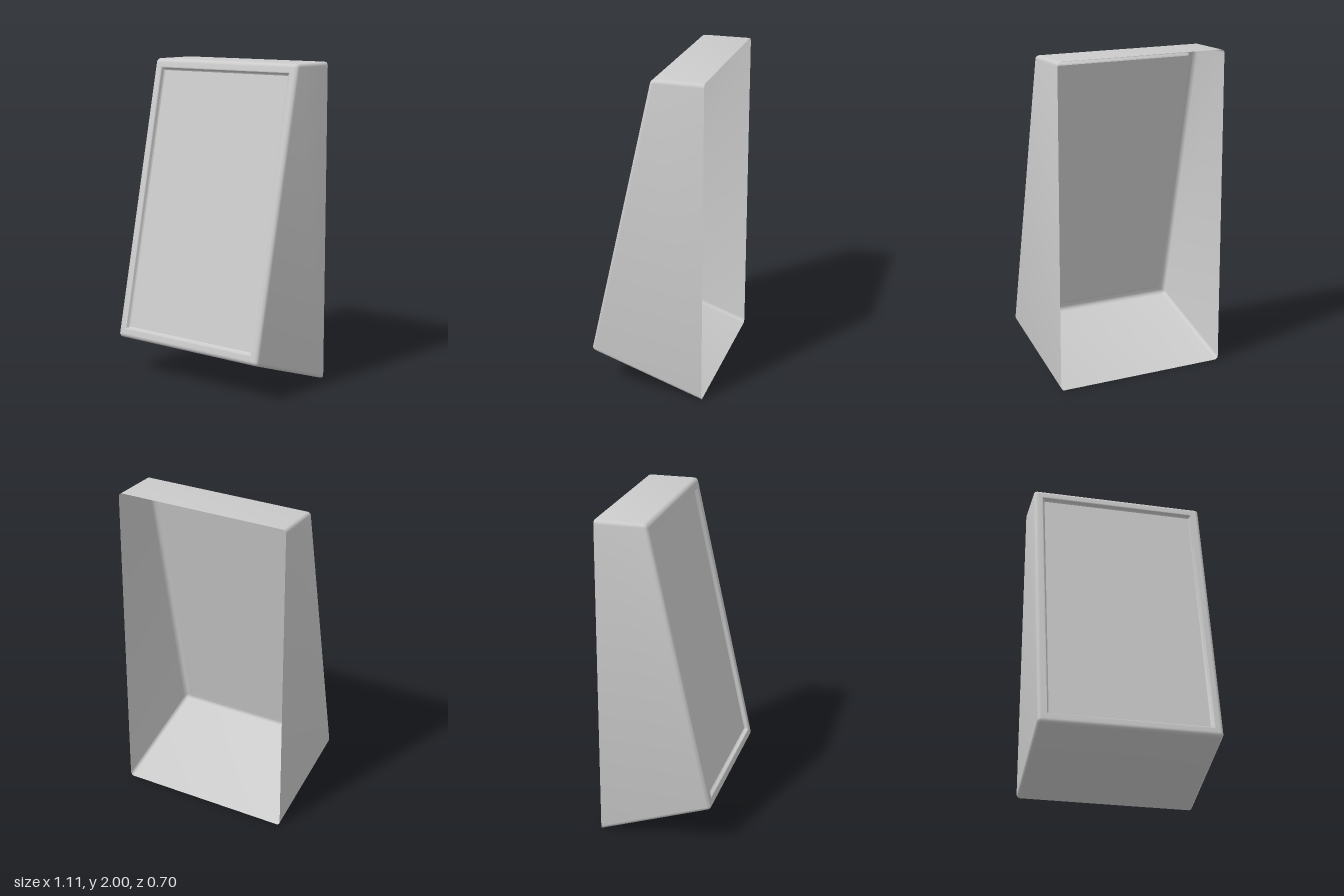
import * as THREE from 'three';
import { toCreasedNormals } from 'three/addons/utils/BufferGeometryUtils.js';

const W = 0.557;                                   // half width
const BOTTOM = new THREE.Vector3(0, 0.242, 0.356); // front face lower edge
const TOP = new THREE.Vector3(0, 2, -0.034);       // front face upper edge
const BACK_Z = -0.35;
const L = BOTTOM.distanceTo(TOP);
const UP = TOP.clone().sub(BOTTOM).normalize();
const NORMAL = new THREE.Vector3(1, 0, 0).cross(UP);
const CORNER = 0.022, EDGE = 0.024, STEPS = 4;

// Rounded rectangle in the slanted front plane, counter-clockwise from the front
function outline(inset) {
  const r = Math.max(CORNER - inset, 0.001);
  const hx = W - inset - r, hs = L / 2 - inset - r;
  const pts = [];
  [[1, 1], [-1, 1], [-1, -1], [1, -1]].forEach(([sx, sy], q) => {
    for (let i = 0; i <= STEPS; i++) {
      const a = (q + i / STEPS) * Math.PI / 2;
      pts.push([sx * hx + r * Math.cos(a), L / 2 + sy * hs + r * Math.sin(a)]);
    }
  });
  return pts;
}

const onFront = (x, s) => BOTTOM.clone().addScaledVector(UP, s).setX(x);
const onBack = (x, s) => new THREE.Vector3(x, 2 * s / L, BACK_Z);

// Ring running back along the walls by a given distance
const wallRing = (inset, depth) => outline(inset).map(([x, s]) => {
  const f = onFront(x, s), b = onBack(x, s);
  return f.lerp(b, depth / f.distanceTo(b));
});
// Ring sunk straight into the front face
const sunkRing = (inset, depth) => outline(inset).map(([x, s]) =>
  onFront(x, s).addScaledVector(NORMAL, -depth));

// Skin a list of rings, optionally closing the last one
function loft(rings, cap = false) {
  const n = rings[0].length;
  const pos = rings.flat().flatMap(p => p.toArray());
  const idx = [];
  for (let k = 0; k < rings.length - 1; k++) {
    for (let j = 0; j < n; j++) {
      const a = k * n + j, b = k * n + (j + 1) % n;
      idx.push(a, b, b + n, a, b + n, a + n);
    }
  }
  if (cap) {
    const base = (rings.length - 1) * n;
    for (let j = 1; j < n - 1; j++) idx.push(base, base + j, base + j + 1);
  }
  const g = new THREE.BufferGeometry();
  g.setAttribute('position', new THREE.Float32BufferAttribute(pos, 3));
  g.setIndex(idx);
  return toCreasedNormals(g, 0.6);
}

export function createModel() {
  const group = new THREE.Group();
  group.name = 'wedgeHousing';
  const material = new THREE.MeshStandardMaterial({ color: 0xcccccc, side: THREE.DoubleSide });
  const add = (name, geometry) => {
    const mesh = new THREE.Mesh(geometry, material);
    mesh.name = name;
    group.add(mesh);
  };

  // Open-backed walls, rounded over at the front, then the flat frame
  const shell = [outline(0).map(([x, s]) => onBack(x, s))];
  for (let i = 0; i <= 5; i++) {
    const a = i / 5 * Math.PI / 2;
    shell.push(wallRing(EDGE * (1 - Math.cos(a)), EDGE * (1 - Math.sin(a))));
  }
  shell.push(sunkRing(0.052, 0));
  add('shellAndFrame', loft(shell));

  // Softened lip and stepped wall leading down to the panel
  add('recessLip', loft([
    sunkRing(0.052, 0), sunkRing(0.057, 0.002), sunkRing(0.06, 0.007),
    sunkRing(0.063, 0.018), sunkRing(0.07, 0.025),
  ]));

  // Flat sunken panel
  add('frontPanel', loft([sunkRing(0.07, 0.025), sunkRing(0.072, 0.025)], true));

  return group;
}
